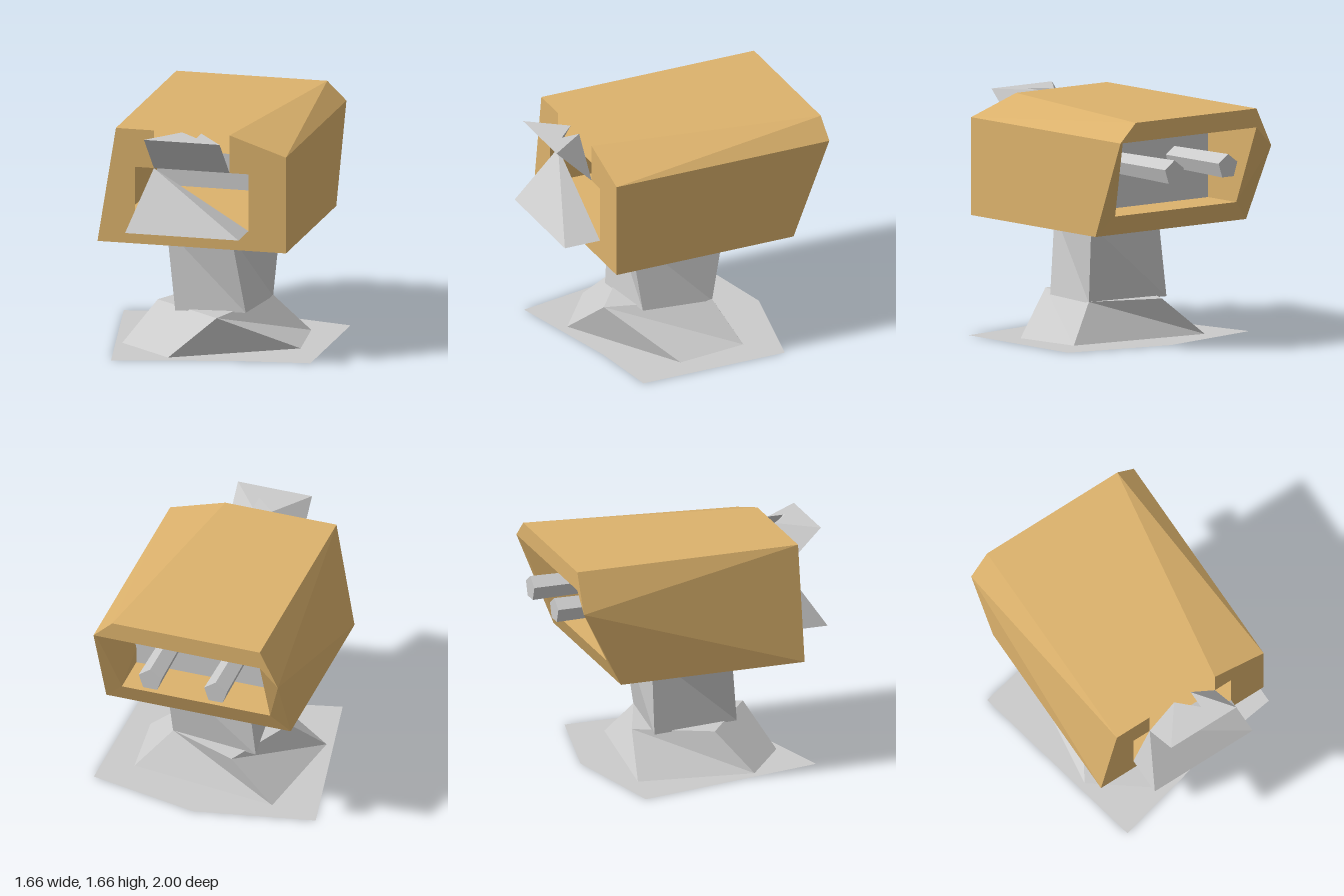
import * as THREE from 'three';

const grey = new THREE.MeshStandardMaterial({ color: 0xcccccc, flatShading: true, side: THREE.DoubleSide });
const gold = new THREE.MeshStandardMaterial({ color: 0xdcb26c, flatShading: true, side: THREE.DoubleSide });

function add(parent, name, geometry, material = grey) {
  const mesh = new THREE.Mesh(geometry, material);
  mesh.name = name;
  parent.add(mesh);
  return mesh;
}

// Flat-faced geometry from convex polygons of [x, y, z] corners
function faces(polygons) {
  const pos = [];
  for (const p of polygons)
    for (let i = 1; i < p.length - 1; i++) pos.push(...p[0], ...p[i], ...p[i + 1]);
  const g = new THREE.BufferGeometry();
  g.setAttribute('position', new THREE.Float32BufferAttribute(pos, 3));
  g.computeVertexNormals();
  return g;
}

// Triangles joining successive rings of equal length; repeated corners collapse a side
function loft(rings) {
  const tris = [];
  for (let r = 0; r < rings.length - 1; r++) {
    const a = rings[r], b = rings[r + 1];
    a.forEach((_, i) => {
      const j = (i + 1) % a.length;
      tris.push([a[i], b[i], b[j]], [a[i], b[j], a[j]]);
    });
  }
  return faces(tris);
}

const shape = (pts) => new THREE.ShapeGeometry(new THREE.Shape(pts.map(([x, y]) => new THREE.Vector2(x, y))));
const atY = (y, pts) => pts.map(([x, z]) => [x, y, z]);
const atZ = (z, pts) => pts.map(([x, y]) => [x, y, z]);

export function createModel() {
  const model = new THREE.Group();
  model.name = 'standingViewer';

  // Thin ground plate
  const plate = [[-0.555, 0.86], [0.31, 0.65], [0.83, 0.58], [0.83, -0.525], [0.03, -0.7], [-0.83, -0.525]];
  add(model, 'groundPlate', shape(plate.map(([x, z]) => [x, -z])).rotateX(-Math.PI / 2));

  // Rough faceted foot, five corners below and four above
  const footTop = atY(0.28, [[-0.4, 0.155], [0.14, 0.565], [0.14, 0.565], [0.355, -0.18], [-0.15, -0.38]]);
  const footBottom = atY(0.005, [[-0.6, 0.38], [-0.18, 0.7], [0.66, 0.21], [0.6, -0.31], [-0.48, -0.455]]);
  const foot = new THREE.Group();
  foot.name = 'foot';
  add(foot, 'footSides', loft([footTop, footBottom]));
  add(foot, 'footTop', faces([footTop]));
  model.add(foot);

  // Slightly twisted neck
  add(model, 'neck', loft([
    atY(0.84, [[-0.29, 0.32], [0.2, 0.39], [0.395, -0.255], [-0.22, -0.255]]),
    atY(0.27, [[-0.21, 0.39], [0.29, 0.33], [0.355, -0.18], [-0.29, -0.26]]),
  ]));

  // Housing: outer skin, sloped rear rim, inner lining
  const housing = new THREE.Group();
  housing.name = 'housing';
  const front = 0.725;
  const outerFront = atZ(front, [[-0.69, 0.83], [0.69, 0.83], [0.69, 1.53], [0.277, 1.665], [-0.555, 1.665], [-0.69, 0.83]]);
  const outerBack = [[-0.69, 0.83, -0.66], [0.69, 0.83, -0.66], [0.69, 1.53, -0.94],
    [0.55, 1.665, -0.94], [-0.555, 1.665, -0.94], [-0.69, 1.39, -0.94]];
  const innerBack = [[-0.555, 0.97, -0.715], [0.555, 0.97, -0.715], [0.67, 1.53, -0.94],
    [0.67, 1.53, -0.94], [-0.555, 1.53, -0.94], [-0.555, 1.53, -0.94]];
  const innerFront = atZ(front, [[-0.555, 0.97], [0.555, 0.97], [0.555, 1.53], [0.555, 1.53], [-0.555, 1.53], [-0.555, 1.53]]);
  add(housing, 'shell', loft([outerFront, outerBack, innerBack, innerFront]), gold);

  // Front wall with a wide window and a narrower notch above it
  add(housing, 'frontWall', shape([[-0.69, 0.83], [0.69, 0.83], [0.69, 1.53], [0.277, 1.665], [0.277, 1.39],
    [0.415, 1.39], [0.415, 0.975], [-0.415, 0.975], [-0.415, 1.39], [-0.277, 1.39], [-0.277, 1.665],
    [-0.555, 1.665]]).translate(0, 0, front), gold);
  model.add(housing);

  // Partition inside the housing
  add(model, 'partition', shape([[-0.555, 0.97], [0.555, 0.97], [0.6, 1.53], [-0.555, 1.53]]).translate(0, 0, -0.4));

  // Pair of eyepieces reaching out of the rear opening
  for (const side of [-1, 1]) {
    const tube = add(model, side < 0 ? 'rightEyepiece' : 'leftEyepiece',
      new THREE.CylinderGeometry(0.09, 0.08, 0.6, 5).rotateX(-Math.PI / 2));
    tube.position.set(side * 0.245, 1.285, -0.7);
  }

  // Upper hood: sloped sheet with a notched top
  const lowR = [-0.277, 1.39, front], lowL = [0.277, 1.39, front];
  const tipR = [-0.277, 1.665, 1], tipL = [0.277, 1.665, 1];
  const backR = [-0.07, 1.665, front], backL = [0.07, 1.665, front], notch = [0.07, 1.665, 0.86];
  add(model, 'upperHood', faces([
    [lowR, lowL, tipL, tipR],
    [lowR, tipR, backR],
    [lowL, backL, tipL],
    [notch, backR, tipR], [notch, tipR, tipL], [notch, tipL, backL],
  ]));

  // Lower hood: lopsided pyramid with its peak on one side
  const lip = [[-0.415, 0.975, 1], [0.415, 0.975, 1], [0.415, 0.975, front], [-0.415, 0.975, front]];
  add(model, 'lowerHood', faces([
    [lowR, lip[0], lip[1]],
    [lowR, lip[1], lip[2]],
    [lowR, lip[3], lip[0]],
    [lip[3], lip[2], lip[1], lip[0]],
  ]));

  return model;
}
